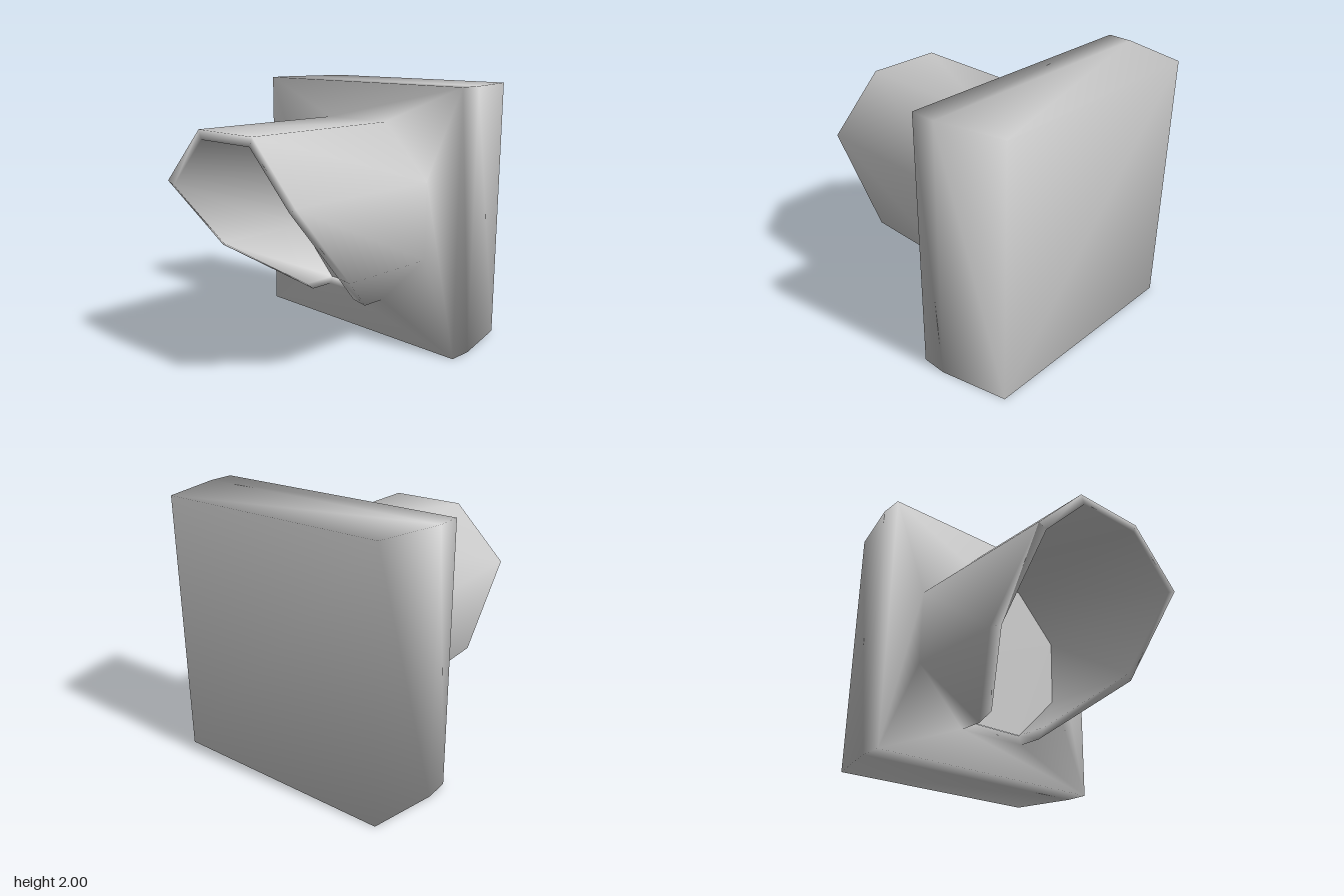
import * as THREE from 'three';
import { mergeGeometries, mergeVertices } from 'three/addons/utils/BufferGeometryUtils.js';

const FRONT = -0.3;
const CENTRE = 1;

// Open octagon, from bottom right round the top to bottom left
function octagon(apothem) {
  const r = apothem / Math.cos(Math.PI / 8);
  return Array.from({ length: 8 }, (_, i) => {
    const a = -Math.PI * 3 / 8 + i * Math.PI / 4;
    return new THREE.Vector2(r * Math.cos(a), CENTRE + r * Math.sin(a));
  });
}

// Slanted opening of the hood: depth for a given height
function cutDepth(y) {
  if (y >= 1.27) return 0.99;
  if (y >= 0.73) return 0.54 + (y - 0.73) / 0.54 * 0.45;
  return -0.1 + (y - 0.29) / 0.44 * 0.64;
}

// Joins consecutive cross-sections with quads
function skin(sections, closed) {
  const pos = [], index = [], n = sections[0].length;
  sections.forEach(s => s.forEach(p => pos.push(p.x, p.y, p.z)));
  for (let s = 0; s < sections.length - 1; s++) {
    for (let i = 0; i < (closed ? n : n - 1); i++) {
      const a = s * n + i, b = s * n + (i + 1) % n;
      index.push(a, a + n, b, b, a + n, b + n);
    }
  }
  const g = new THREE.BufferGeometry();
  g.setAttribute('position', new THREE.Float32BufferAttribute(pos, 3));
  g.setIndex(index);
  return g;
}

function plain(g) {
  g.deleteAttribute('normal');
  g.deleteAttribute('uv');
  return g;
}

const at = (points, depth) => points.map(p => new THREE.Vector3(p.x, p.y, depth(p.y)));
const rect = (w, z) => [[-w, 0], [w, 0], [w, 2], [-w, 2]].map(([x, y]) => new THREE.Vector3(x, y, z));

export function createModel() {
  const group = new THREE.Group();
  const material = new THREE.MeshStandardMaterial({ color: 0xcccccc });
  const outer = octagon(0.71), inner = octagon(0.64);
  const wall = () => FRONT;

  // Block with tapered sides
  const sides = skin([rect(1, FRONT), rect(1, -0.49), rect(0.88, -0.99)], true);
  const back = plain(new THREE.PlaneGeometry(1.76, 2).rotateY(Math.PI).translate(0, 1, -0.99));

  // Front face around the hood
  const face = new THREE.Shape(rect(1, 0).map(p => new THREE.Vector2(p.x, p.y)));
  face.holes.push(new THREE.Path([...outer, inner[7], inner[0]]));
  const front = plain(new THREE.ShapeGeometry(face).translate(0, 0, FRONT));

  // Hood: outer wall, slanted rim and inner wall, open along the bottom
  const hood = skin([at(outer, cutDepth), at(outer, wall)], false);
  const rim = skin([at(inner, cutDepth), at(outer, cutDepth)], false);
  const lining = skin([at(inner, wall), at(inner, cutDepth)], false);

  // Ends of the hood wall beside the bottom gap
  const ends = [0, 7].map(i => {
    const o = [outer[i]], n = [inner[i]];
    const pair = d => [at(o, d)[0], at(n, d)[0]];
    return i === 0 ? skin([pair(wall), pair(cutDepth)], false) : skin([pair(cutDepth), pair(wall)], false);
  });

  const body = mergeVertices(mergeGeometries([sides, back, front, hood, rim, lining, ...ends]), 1e-4);
  body.computeVertexNormals();
  const bodyMesh = new THREE.Mesh(body, material);
  bodyMesh.name = 'wallBlockAndHood';
  group.add(bodyMesh);

  // Flat lens at the bottom of the hood
  const lens = new THREE.Mesh(new THREE.ShapeGeometry(new THREE.Shape(inner)), material);
  lens.position.z = FRONT + 0.005;
  lens.name = 'lens';
  group.add(lens);

  return group;
}
